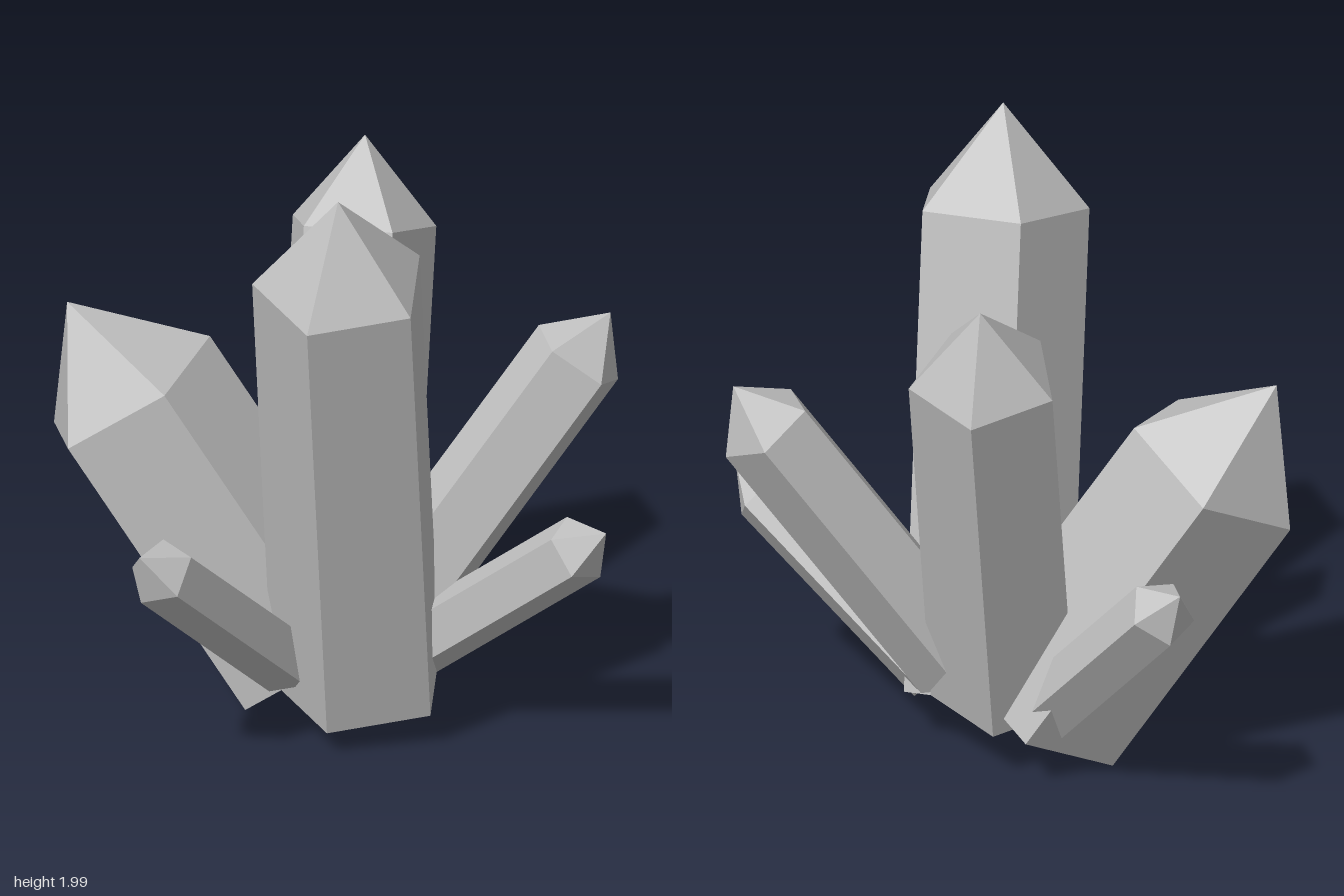
import * as THREE from 'three';

const SIDES = 5;

// base: centre of the foot, ring: centre of the shoulder, corner: one shoulder corner
const CRYSTALS = [
  { name: 'tallFrontCrystal', base: [0.105, 0.15, 0.085], ring: [0.088, 1.68, 0.436], corner: [0.01, 1.615, 0.71], radius: 0.288, point: 0.33 },
  { name: 'tallBackCrystal', base: [0, 0.235, -0.09], ring: [0.024, 1.5, -0.476], corner: [0.04, 1.43, -0.71], radius: 0.245, point: 0.283 },
  { name: 'wideRightCrystal', base: [-0.1, 0.176, -0.075], ring: [-0.67, 1.046, -0.084], corner: [-0.67, 1.05, -0.4], radius: 0.315, point: 0.355 },
  { name: 'mediumLeftCrystal', base: [0.15, 0.3, -0.07], ring: [0.755, 1.18, -0.24], corner: [0.87, 1.077, -0.29], radius: 0.162, point: 0.18 },
  { name: 'smallFrontCrystal', base: [-0.12, 0.24, 0.15], ring: [-0.464, 0.748, 0.66], corner: [-0.4, 0.706, 0.749], radius: 0.115, point: 0.134 },
  { name: 'smallLeftCrystal', base: [0.233, 0.23, -0.014], ring: [0.817, 0.718, 0.238], corner: [0.889, 0.633, 0.24], radius: 0.115, point: 0.134 },
  { name: 'smallBackCrystal', base: [-0.166, 0.25, -0.25], ring: [-0.566, 0.8, -0.666], corner: [-0.497, 0.8, -0.754], radius: 0.115, point: 0.134 },
];

// Five-sided shaft with a pyramid point, turned so one edge runs through the corner
function makeCrystal({ name, base, ring, corner, radius, point }, material) {
  const foot = new THREE.Vector3(...base);
  const shoulder = new THREE.Vector3(...ring);
  const axis = shoulder.clone().sub(foot);
  const length = axis.length();
  axis.normalize();
  const out = new THREE.Vector3(...corner).sub(shoulder);
  out.addScaledVector(axis, -out.dot(axis)).normalize();
  const side = new THREE.Vector3().crossVectors(axis, out);

  const shaft = new THREE.Mesh(new THREE.CylinderGeometry(radius, radius, length, SIDES), material);
  shaft.name = 'shaft';
  shaft.position.y = length / 2;

  const tip = new THREE.Mesh(new THREE.ConeGeometry(radius, point, SIDES, 1, true), material);
  tip.name = 'point';
  tip.position.y = length + point / 2;

  const crystal = new THREE.Group();
  crystal.name = name;
  crystal.add(shaft, tip);
  crystal.quaternion.setFromRotationMatrix(new THREE.Matrix4().makeBasis(side, axis, out));
  crystal.position.copy(foot);
  return crystal;
}

export function createModel() {
  const stone = new THREE.MeshStandardMaterial({ color: 0xbfbfbf });
  stone.name = 'grey crystal';
  stone.flatShading = true;

  const cluster = new THREE.Group();
  cluster.name = 'crystalCluster';
  for (const spec of CRYSTALS) cluster.add(makeCrystal(spec, stone));
  return cluster;
}
